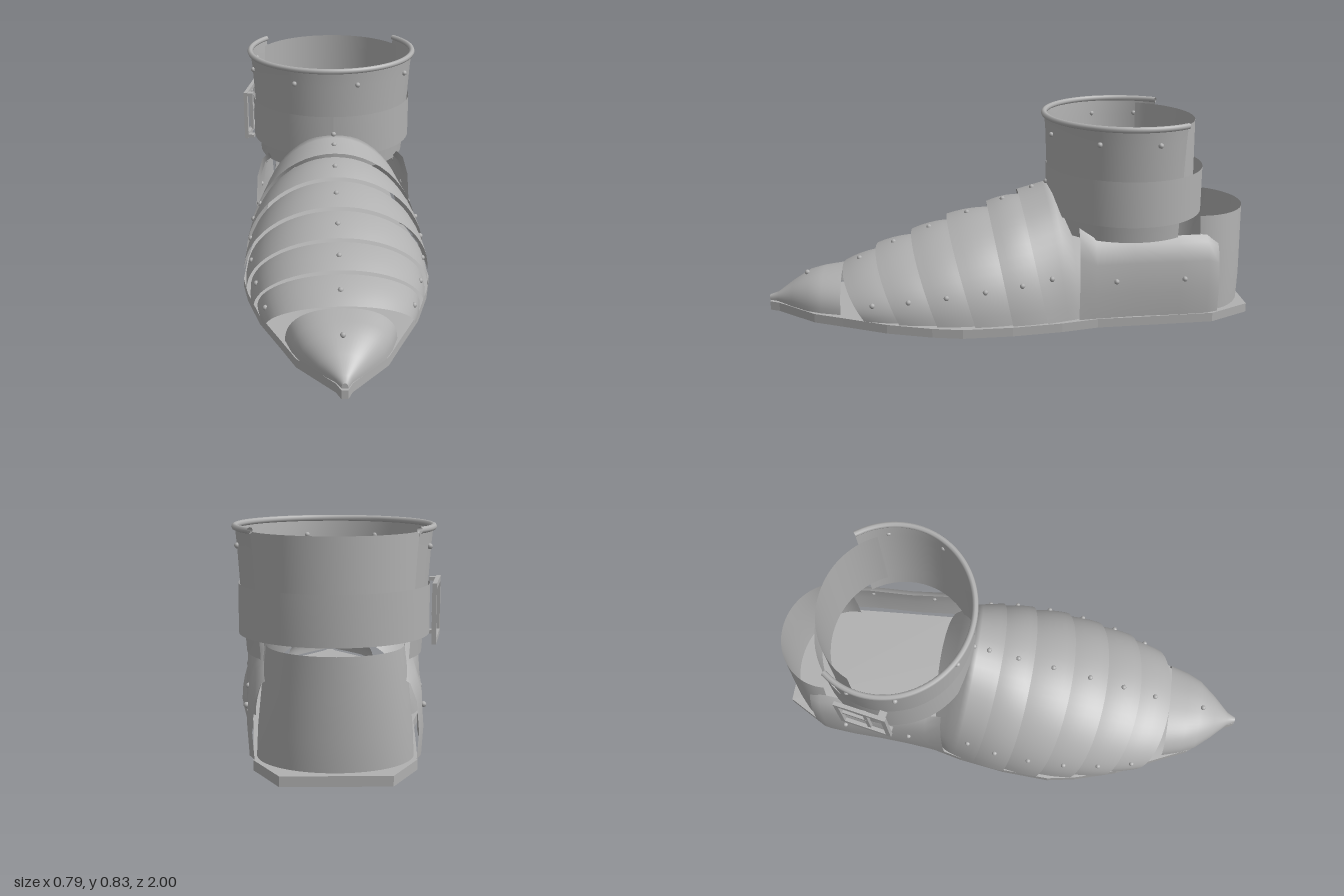
import * as THREE from 'three';

const steel = new THREE.MeshStandardMaterial({ color: 0xb0b0b0, side: THREE.DoubleSide });
steel.name = 'steel grey';
const BASE = 0.045;
const V = (x, y, z) => new THREE.Vector3(x, y, z);
const lerp = THREE.MathUtils.lerp;

export function createModel() {
  const root = new THREE.Group();
  root.name = 'armouredShoe';

  function add(name, geometry, parent = root) {
    const mesh = new THREE.Mesh(geometry, steel);
    mesh.name = name;
    parent.add(mesh);
    return mesh;
  }

  // Smooth sheet through rows of points
  function sheet(rows) {
    const n = rows[0].length, index = [];
    for (let i = 0; i < rows.length - 1; i++) {
      for (let j = 0; j < n - 1; j++) {
        const a = i * n + j, b = a + n;
        index.push(a, a + 1, b, a + 1, b + 1, b);
      }
    }
    const g = new THREE.BufferGeometry().setFromPoints(rows.flat());
    g.setIndex(index);
    g.computeVertexNormals();
    return g;
  }

  function rivet(p) {
    add('rivet', new THREE.SphereGeometry(0.011, 8, 6)).position.copy(p);
  }

  // Point on an arched cross-section whose crown and feet have their own z
  function archPoint(s, a) {
    const k = Math.sin(a), c = Math.cos(a), e = s.square || 1;
    return V(s.w * Math.sign(c) * Math.pow(Math.abs(c), e),
      BASE + (s.y - BASE) * Math.pow(Math.max(k, 0), e), lerp(s.zb, s.zt, k));
  }
  const arch = (s) => Array.from({ length: 29 }, (_, j) => archPoint(s, Math.PI * j / 28));

  // Sole: pointed at the toe, clipped at the heel
  const half = [[0.012, 1], [0.03, 0.96], [0.17, 0.8], [0.225, 0.68], [0.31, 0.5], [0.365, 0.32],
    [0.387, 0.2], [0.378, 0], [0.35, -0.2], [0.315, -0.35], [0.3, -0.6], [0.285, -0.83], [0.19, -1]];
  const outline = [...half, ...half.map(([x, z]) => [-x, z]).reverse()];
  const soleShape = new THREE.Shape(outline.map(([x, z]) => new THREE.Vector2(x, -z)));
  const soleGeo = new THREE.ExtrudeGeometry(soleShape, { depth: 0.037, bevelEnabled: false });
  soleGeo.rotateX(-Math.PI / 2);
  add('sole', soleGeo);

  // Toe cap
  const toe = [[1, 0.065, 0.012], [0.965, 0.075, 0.03], [0.9, 0.12, 0.095], [0.83, 0.16, 0.155],
    [0.77, 0.172, 0.185], [0.69, 0.18, 0.21]]
    .map(([z, y, w]) => ({ zt: z, zb: z, y, w, square: 0.85 }));
  add('toeCap', sheet(toe.map(arch)));
  add('toeTip', sheet([arch(toe[0]), arch({ ...toe[0], w: 0.001, y: BASE })]));
  rivet(V(0, 0.16, 0.84));

  // Overlapping foot lames: crown z, foot z, crown height, half width
  const edges = [[0.69, 0.59, 0.175, 0.28], [0.55, 0.45, 0.25, 0.33], [0.4, 0.3, 0.31, 0.362],
    [0.25, 0.15, 0.375, 0.38], [0.08, 0, 0.43, 0.377], [-0.05, -0.14, 0.487, 0.365],
    [-0.18, -0.25, 0.535, 0.335]].map(([zt, zb, y, w]) => ({ zt, zb, y, w }));
  for (let i = 0; i < edges.length - 1; i++) {
    const A = edges[i], B = edges[i + 1], last = i === edges.length - 2;
    const at = (t) => {
      const lift = last ? 0.008 * (1 - t) : 0.012 - 0.026 * t + 0.035 * t * (1 - t);
      const u = last ? t : t * 1.12;
      return { zt: lerp(A.zt, B.zt, u), zb: lerp(A.zb, B.zb, u),
        y: lerp(A.y, B.y, t) + lift, w: lerp(A.w, B.w, t) + lift * 0.6 };
    };
    const stations = [0, 0.2, 0.4, 0.6, 0.8, 1].map(at);
    // The hindmost lame dips down into the ankle opening
    if (last) stations.push({ zt: -0.25, zb: -0.27, y: 0.45, w: 0.325 }, { zt: -0.32, zb: -0.29, y: 0.38, w: 0.31 });
    add('footLame', sheet(stations.map(arch)));
    const mid = at(0.45);
    for (const a of [0.38, Math.PI / 2, Math.PI - 0.38]) rivet(archPoint(mid, a));
  }
  rivet(V(0, 0.537, -0.17));

  // Side plates, leaning inward toward the ankle
  const profile = [[0, BASE, 0.005], [0.3, 0.15, 0.012], [0.65, 0.27, 0.003], [0.9, 0.34, -0.02], [1, 0.365, -0.05]];
  const plan = [[-0.27, 0.335], [-0.34, 0.325], [-0.5, 0.31], [-0.68, 0.305], [-0.8, 0.295], [-0.85, 0.275]];
  for (const side of [1, -1]) {
    add('sidePlate', sheet(profile.map(([t, y, dx]) => plan.map(([z, x], i) => {
      const top = i === 0 ? 0.05 : i === 5 ? -0.03 : 0;
      return V(side * (x + dx), y + top * t, z);
    }))));
    rivet(V(side * 0.316, 0.2, -0.7));
    rivet(V(side * 0.328, 0.2, -0.42));
  }

  // Upright wall around an oval: levels are [y, radius x, radius z], angle 0 faces front
  function wall(levels, zc, from, to, steps = 40) {
    return levels.map(([y, rx, rz]) => Array.from({ length: steps + 1 }, (_, j) => {
      const a = lerp(from, to, j / steps);
      return V(rx * Math.sin(a), y, zc + rz * Math.cos(a));
    }));
  }

  // Heel counter
  add('heelCounter', sheet(wall([[BASE, 0.275, 0.21], [0.15, 0.27, 0.215], [0.3, 0.255, 0.215], [0.44, 0.238, 0.215]],
    -0.785, Math.PI * 0.48, Math.PI * 1.52)));

  // Ankle cuff, open behind, with a rolled rim
  const cuffEnd = Math.PI / 2 + 0.62, zc = -0.495;
  add('ankleCuff', sheet(wall([[0.36, 0.325, 0.31], [0.45, 0.332, 0.315], [0.6, 0.346, 0.322],
    [0.75, 0.356, 0.328], [0.82, 0.363, 0.334]], zc, -cuffEnd, cuffEnd)));
  const rim = wall([[0.822, 0.364, 0.335]], zc, -cuffEnd, cuffEnd)[0];
  add('cuffRim', new THREE.TubeGeometry(new THREE.CatmullRomCurve3(rim), 80, 0.012, 8));
  for (const a of [-1.32, -0.48, 0.29, 1.08, 1.8, -1.9]) {
    rivet(V(0.36 * Math.sin(a), 0.757, zc + 0.332 * Math.cos(a)));
  }

  // Rear ankle plate
  add('rearAnklePlate', sheet(wall([[0.43, 0.325, 0.29], [0.81, 0.325, 0.285]], zc, Math.PI * 0.62, Math.PI * 1.38)));

  // Strap around the ankle
  add('strap', sheet(wall([[0.43, 0.354, 0.325], [0.615, 0.354, 0.325]], zc, 0, Math.PI * 2, 64)));

  // Buckle frame, prong and hinge tabs
  const buckle = new THREE.Group();
  buckle.name = 'buckle';
  buckle.position.set(-0.372, 0.522, -0.565);
  buckle.rotation.y = -0.18;
  root.add(buckle);
  const bar = (name, w, h, d, x, y, z) => add(name, new THREE.BoxGeometry(w, h, d), buckle).position.set(x, y, z);
  for (const s of [-1, 1]) {
    bar('buckleUpright', 0.016, 0.22, 0.02, 0, 0, s * 0.1);
    bar('buckleCrossbar', 0.016, 0.02, 0.22, 0, s * 0.1, 0);
    bar('buckleTab', 0.035, 0.014, 0.03, 0.015, s * 0.1, 0.09);
  }
  bar('bucklePin', 0.014, 0.19, 0.016, 0.006, 0, 0.015);
  bar('buckleProng', 0.012, 0.014, 0.11, 0.004, 0, -0.04);

  return root;
}
